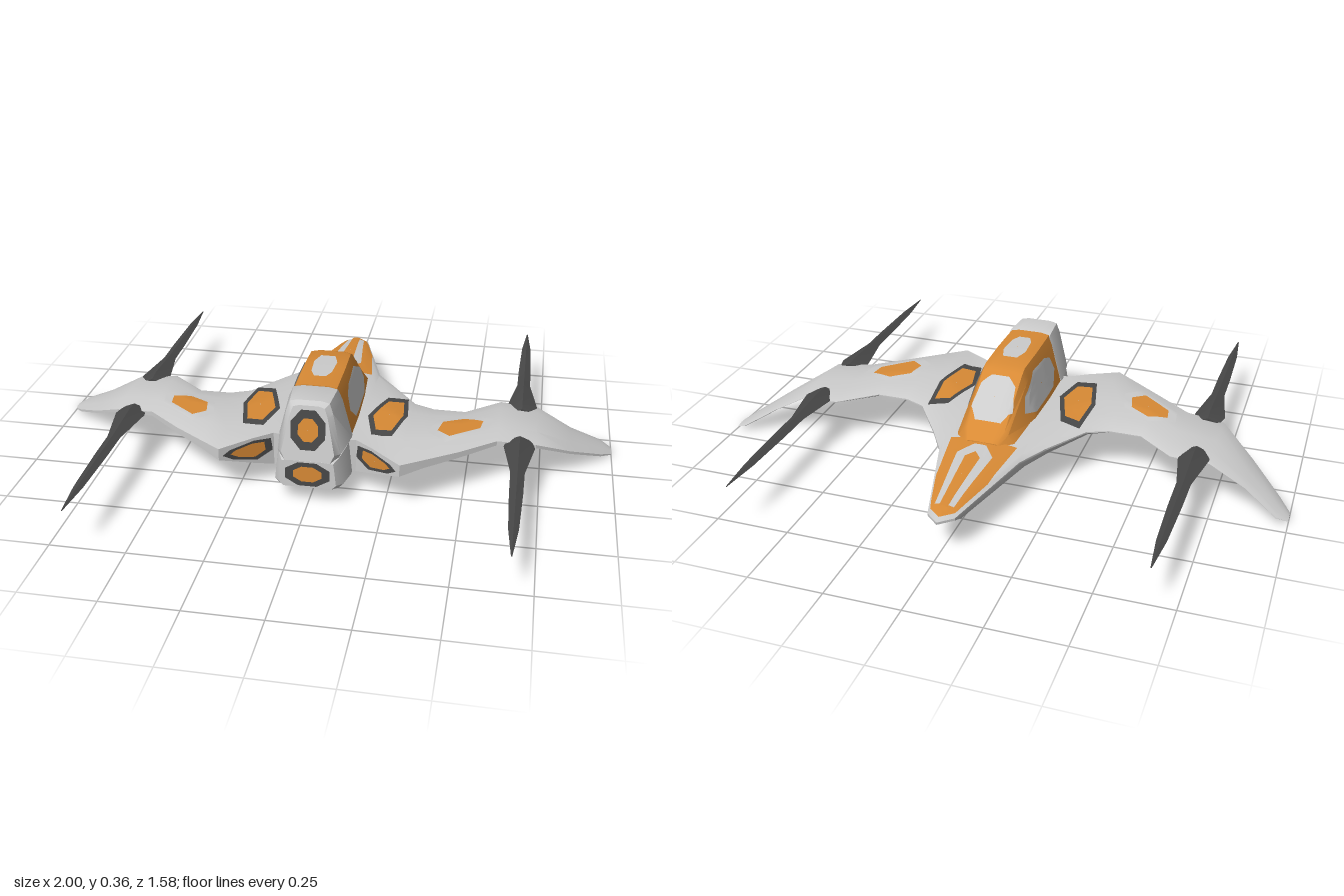
import * as THREE from 'three';
import { toCreasedNormals } from 'three/addons/utils/BufferGeometryUtils.js';

const GREY = 0xcccccc, ORANGE = 0xd88a35, DARK = 0x484848;
const V = (x, y, z) => new THREE.Vector3(x, y, z);

function makeMesh(name, tris, color, crease = 0.5, side = THREE.FrontSide) {
  let geo = new THREE.BufferGeometry().setFromPoints(tris);
  geo.computeVertexNormals();
  geo = toCreasedNormals(geo, crease);
  const mesh = new THREE.Mesh(geo, new THREE.MeshStandardMaterial({ color, side }));
  mesh.name = name;
  return mesh;
}

// Skin a row of closed rings (counter-clockwise seen from the far end) and cap both ends
function loft(name, rings, color, crease) {
  const tris = [], n = rings[0].length;
  for (let i = 0; i < rings.length - 1; i++) {
    for (let j = 0; j < n; j++) {
      const k = (j + 1) % n, [p, q] = [rings[i], rings[i + 1]];
      tris.push(p[j], p[k], q[k], p[j], q[k], q[j]);
    }
  }
  const cap = (ring, flip) => {
    const c = V(0, 0, 0);
    ring.forEach(p => c.addScaledVector(p, 1 / n));
    ring.forEach((p, j) => {
      const q = ring[(j + 1) % n];
      tris.push(c, flip ? q : p, flip ? p : q);
    });
  };
  cap(rings[0], true);
  cap(rings[rings.length - 1], false);
  return makeMesh(name, tris, color, crease);
}

// Hull and wings: x, front z, rear z, front edge y, top y, bottom y, rear top y, rear bottom y
const STATIONS = [
  [0, -.72, .26, .12, .18, .045, .18, .06],
  [.045, -.68, .25, .12, .18, .045, .18, .06],
  [.14, -.34, .24, .145, .185, .055, .185, .065],
  [.2, -.245, .285, .155, .187, .08, .183, .088],
  [.3, -.1, .36, .16, .19, .11, .172, .13],
  [.37, -.07, .31, .16, .19, .122, .17, .14],
  [.48, -.07, .23, .16, .187, .133, .167, .145],
  [.6, -.17, .135, .16, .182, .142, .168, .152],
  [.73, -.165, .12, .153, .17, .142, .158, .146],
  [.85, -.165, .02, .085, .1, .075, .09, .08],
  [.96, -.21, -.09, .022, .036, .014, .028, .02],
  [1, -.19, -.14, .004, .01, 0, .006, .002]
];
const U = [0, .06, .22, .45, .75, 1];
const RISE = [.06, .35, .65, 1, 1], DROP = [.06, .4, .7, .9, 1];

function hullRing([x, zF, zR, yF, yT, yB, rT, rB], s) {
  const edge = (rise, y, rear) => U.map((u, i) =>
    V(s * x, i === 5 ? rear : yF + (y - yF) * rise[i], zF + (zR - zF) * u));
  return [...edge(RISE, yT, rT), ...edge(DROP, yB, rB).reverse()];
}

// Body ring along z: z, lower half width, upper half width, bottom y, top y, lean of the end
function bodyRing([z, w, t, y0, y1, lean = 0]) {
  const h = y1 - y0;
  const half = [[w * .85, 0], [w, .15], [t + (w - t) * .3, .8], [t, .97], [t * .6, 1]];
  const place = (s, [x, f]) => V(s * x, y0 + f * h, z - lean * f);
  return [...half.map(p => place(1, p)), ...half.map(p => place(-1, p)).reverse()];
}

// Directions from which panel outlines are laid onto a surface
const FACES = {
  top: (a, b, s) => [V(s * a, 2, b), V(0, -1, 0)],
  belly: (a, b, s) => [V(s * a, -2, b), V(0, 1, 0)],
  rear: (a, b, s) => [V(s * a, b, 2), V(0, 0, -1)],
  side: (a, b, s) => [V(s * 2, b, a), V(-s, 0, 0)]
};

// Inset panel: a rim and a centre that follow the surface of the target
function panel(name, target, face, outline, rim, centre, k = .7, s = 1, lift = .004) {
  const ray = new THREE.Raycaster(), group = new THREE.Group();
  const n = outline.length, pts = [];
  outline.forEach(([a, b], i) => {
    const [c, d] = outline[(i + 1) % n];
    for (let t = 0; t < 1; t += .25) pts.push([a + (c - a) * t, b + (d - b) * t]);
  });
  const mid = [0, 1].map(i => outline.reduce((sum, p) => sum + p[i], 0) / n);
  const project = (p, f) => {
    const [from, dir] = FACES[face](mid[0] + (p[0] - mid[0]) * f, mid[1] + (p[1] - mid[1]) * f, s);
    ray.set(from, dir);
    const hit = ray.intersectObject(target)[0];
    return hit ? hit.point.addScaledVector(hit.face.normal, lift) : null;
  };
  const band = (part, scales, color) => {
    const rows = scales.map(f => pts.map(p => project(p, f))), tris = [];
    const add = (...t) => { if (t.every(Boolean)) tris.push(...t); };
    for (let i = 0; i < rows.length - 1; i++) {
      pts.forEach((_, j) => {
        const m = (j + 1) % pts.length, [p, q] = [rows[i], rows[i + 1]];
        add(p[j], p[m], q[m]);
        add(p[j], q[m], q[j]);
      });
    }
    group.add(makeMesh(part, tris, color, .6, THREE.DoubleSide));
  };
  band('panelRim', [1, (1 + k) / 2, k], rim);
  band('panelCentre', [k, k * .75, k * .5, k * .25, k * .02], centre);
  group.name = name;
  return group;
}

export function createModel() {
  const model = new THREE.Group();
  model.name = 'aircraft';

  // Hull with drooping wings
  const left = STATIONS.map(st => hullRing(st, 1));
  const right = STATIONS.slice(1).reverse().map(st => hullRing(st, -1));
  const hull = loft('hullAndWings', [...right, ...left], GREY, .55);

  // Cabin, its rear fairing and the lower engine housing
  const cabin = loft('cabin', [
    [-.31, .075, .05, .15, .182], [-.27, .108, .065, .15, .212], [-.1, .12, .07, .15, .345],
    [-.07, .12, .07, .15, .358], [.06, .123, .072, .15, .36], [.21, .12, .07, .15, .36]
  ].map(bodyRing), ORANGE, .6);
  const fairing = loft('rearFairing', [
    [.2, .122, .072, .15, .353], [.22, .124, .074, .15, .362],
    [.34, .105, .066, .15, .36, .02], [.37, .088, .052, .16, .348, .035]
  ].map(bodyRing), GREY, .6);
  const engine = loft('engineHousing', [
    [0, .1, .1, .06, .15], [.1, .125, .12, .046, .175], [.26, .128, .115, .045, .18],
    [.34, .115, .1, .055, .172], [.37, .095, .085, .064, .162]
  ].map(bodyRing), GREY, .6);
  model.add(hull, cabin, fairing, engine);

  // Nose cover with its light inlay and centre stripe
  const nose = [[0, -.7], [.04, -.665], [.085, -.5], [.115, -.29], [-.115, -.29], [-.085, -.5], [-.04, -.665]];
  const inlay = [[.03, -.65], [.06, -.38], [.02, -.325], [-.02, -.325], [-.06, -.38], [-.03, -.65]];
  const stripe = [[.012, -.66], [.025, -.4], [0, -.37], [-.025, -.4], [-.012, -.66]];
  model.add(panel('noseCover', hull, 'top', nose, ORANGE, ORANGE));
  model.add(panel('noseInlay', hull, 'top', inlay, GREY, GREY, .7, 1, .007));
  model.add(panel('noseStripe', hull, 'top', stripe, ORANGE, ORANGE, .7, 1, .01));

  // Cabin roof and windscreen panels
  const windscreen = [[.045, -.25], [.07, -.21], [.06, -.14], [.03, -.115], [-.03, -.115], [-.06, -.14], [-.07, -.21], [-.045, -.25]];
  const roof = [[.025, -.02], [.04, .03], [.035, .11], [.02, .145], [-.02, .145], [-.035, .11], [-.04, .03], [-.025, -.02]];
  model.add(panel('windscreen', cabin, 'top', windscreen, GREY, GREY, .8));
  model.add(panel('roofPanel', cabin, 'top', roof, GREY, GREY, .8));

  // Rear nozzles
  const oval = (w, y0, y1) => Array.from({ length: 8 }, (_, i) => {
    const a = (i + .5) * Math.PI / 4;
    return [w * Math.cos(a), (y0 + y1) / 2 + (y1 - y0) / 2 * Math.sin(a)];
  });
  model.add(panel('upperNozzle', fairing, 'rear', oval(.062, .195, .34), DARK, ORANGE, .58));
  model.add(panel('lowerNozzle', engine, 'rear', oval(.08, .068, .162), DARK, ORANGE, .64));

  // Paired panels
  const inner = [[.275, -.105], [.205, -.09], [.155, .07], [.185, .2], [.255, .205], [.29, .05]];
  const outer = [[.37, .16], [.39, .065], [.485, .005], [.58, .015], [.57, .09], [.43, .205]];
  const window_ = [[.16, .25], [.11, .205], [-.08, .2], [-.155, .225], [-.13, .275], [-.03, .325], [.09, .32], [.14, .3]];
  const belly = [[.16, .02], [.2, -.06], [.29, -.02], [.32, .12], [.27, .26], [.18, .2]];
  const tail = [[.145, .125], [.15, .17], [.2, .175], [.27, .16], [.29, .145], [.26, .122], [.19, .1]];
  for (const s of [1, -1]) {
    const side = s > 0 ? 'left' : 'right';
    model.add(panel(side + 'InnerWingPanel', hull, 'top', inner, DARK, ORANGE, .76, s));
    model.add(panel(side + 'OuterWingPanel', hull, 'top', outer, GREY, ORANGE, .7, s));
    model.add(panel(side + 'CabinWindow', cabin, 'side', window_, GREY, GREY, .8, s));
    model.add(panel(side + 'BellyPanel', hull, 'belly', belly, GREY, GREY, .75, s));
    model.add(panel(side + 'TailPanel', hull, 'rear', tail, DARK, ORANGE, .7, s));

    // Long spikes fore and aft of each wing
    const spike = [[.1, .04, .016], [.15, .052, .022], [.32, .023, .012], [.45, .022, .01], [.65, .016, .007], [.79, .002, .002]];
    for (const dir of [1, -1]) {
      const rings = spike.map(([z, w, h]) => [[w, 0], [0, h], [-w, 0], [0, -h]]
        .map(([x, y]) => V(s * .675 + dir * x, .16 + y, dir * z)));
      model.add(loft(side + (dir > 0 ? 'FrontSpike' : 'BackSpike'), rings, DARK, .5));
    }
  }
  return model;
}
